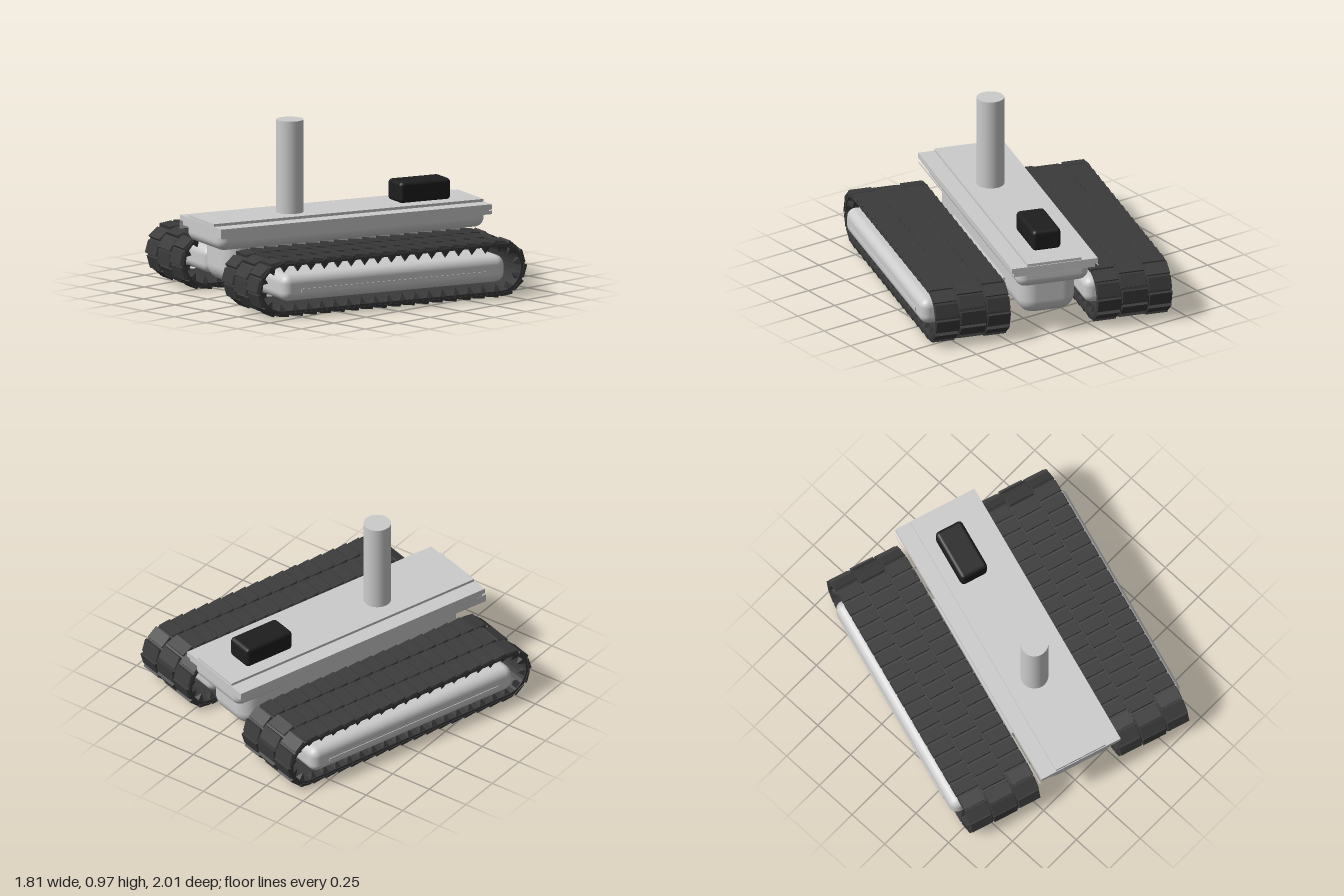
import * as THREE from 'three';
import { mergeGeometries } from 'three/addons/utils/BufferGeometryUtils.js';
import { RoundedBoxGeometry } from 'three/addons/geometries/RoundedBoxGeometry.js';

const grey = new THREE.MeshStandardMaterial({ color: 0xcccccc });
const greyThin = new THREE.MeshStandardMaterial({ color: 0xcccccc, side: THREE.DoubleSide });
const rubber = new THREE.MeshStandardMaterial({ color: 0x3a3a3a, flatShading: true });
const black = new THREE.MeshStandardMaterial({ color: 0x1e1e1e });

// Track loop: two straights joined by half circles
const HALF = 0.675, MID_Y = 0.17, SHOES = 42, TRACK_X = 0.47, TRACK_W = 0.43;

function add(parent, name, geometry, material, x = 0, y = 0, z = 0) {
  const mesh = new THREE.Mesh(geometry, material);
  mesh.name = name;
  mesh.position.set(x, y, z);
  parent.add(mesh);
  return mesh;
}

function roundedBox(w, y0, y1, d, r) {
  return new RoundedBoxGeometry(w, y1 - y0, d, 4, r).translate(0, (y0 + y1) / 2, 0);
}

function stadium(r, Type) {
  const s = new Type();
  s.absarc(HALF, 0, r, -Math.PI / 2, Math.PI / 2, false);
  s.absarc(-HALF, 0, r, Math.PI / 2, Math.PI * 1.5, false);
  s.closePath();
  return s;
}

// Transform of a point on the loop: local y points outward, local z runs along it
function onLoop(t, r) {
  const arc = Math.PI * r, straight = 2 * HALF;
  let s = (((t % 1) + 1) % 1) * 2 * (arc + straight);
  const back = s >= arc + straight;
  if (back) s -= arc + straight;
  let z, y, a;
  if (s < straight) {
    z = -HALF + s; y = r; a = 0;
  } else {
    a = (s - straight) / r;
    z = HALF + Math.sin(a) * r; y = Math.cos(a) * r;
  }
  if (back) { z = -z; y = -y; a += Math.PI; }
  return new THREE.Matrix4().makeRotationX(a).setPosition(0, y + MID_Y, z);
}

function trackGeometry() {
  // Thin continuous belt
  const shape = stadium(0.148, THREE.Shape);
  shape.holes.push(stadium(0.126, THREE.Path));
  const belt = new THREE.ExtrudeGeometry(shape, { depth: TRACK_W, bevelEnabled: false, curveSegments: 8 })
    .translate(0, 0, -TRACK_W / 2).rotateY(Math.PI / 2).translate(0, MID_Y, 0);
  const parts = [belt];
  // Staggered tread pads outside, guide teeth inside
  const pitch = 0.086;
  for (let i = 0; i < SHOES; i++) {
    for (const [x, w, shift] of [[-0.15, 0.14, 0], [0, 0.155, 0.4], [0.15, 0.14, 0]]) {
      const pad = new THREE.BoxGeometry(w, 0.022, pitch * 0.84);
      const p = pad.attributes.position;
      for (let k = 0; k < p.count; k++) {
        // Each pad tilts slightly so neighbours overlap like shingles
        if (p.getY(k) > 0 && p.getZ(k) < 0) p.setY(k, 0.002);
        if (p.getY(k) > 0) p.setX(k, p.getX(k) * 0.92);
      }
      pad.translate(x, 0, 0).applyMatrix4(onLoop((i + shift) / SHOES, 0.15));
      parts.push(pad);
    }
    for (const x of [-0.19, 0.19]) {
      const tooth = new THREE.ConeGeometry(0.03, 0.042, 4).rotateY(Math.PI / 4)
        .rotateX(Math.PI).translate(x, -0.019, 0).applyMatrix4(onLoop(i / SHOES, 0.126));
      parts.push(tooth);
    }
  }
  return mergeGeometries(parts.map(g => (g.index ? g.toNonIndexed() : g)));
}

// Thin tapered strip hanging below the deck edge
function skirtGeometry(drop) {
  const s = new THREE.Shape([[0.84, 0.41], [-0.83, 0.40], [-0.83, 0.39], [0.84, 0.41 - drop]]
    .map(([a, b]) => new THREE.Vector2(a, b)));
  return new THREE.ShapeGeometry(s).rotateY(-Math.PI / 2);
}

export function createModel() {
  const model = new THREE.Group();
  const rover = new THREE.Group();
  rover.name = 'trackedRover';
  rover.rotation.y = -0.306;
  model.add(rover);

  // Central body: narrow keel widening into an upper hull
  add(rover, 'lowerHull', roundedBox(0.33, 0.1, 0.42, 1.5, 0.09), grey);
  add(rover, 'upperHull', roundedBox(0.42, 0.31, 0.44, 1.66, 0.055), grey);

  // Layered deck
  for (const [name, w, y0, y1, d] of [
    ['deckLip', 0.47, 0.39, 0.415, 1.66],
    ['deckRim', 0.5, 0.415, 0.445, 1.68],
    ['deckPlate', 0.315, 0.44, 0.46, 1.67],
  ]) add(rover, name, new THREE.BoxGeometry(w, y1 - y0, d), grey, 0, (y0 + y1) / 2, 0);
  add(rover, 'rightSkirt', skirtGeometry(0.045), greyThin, -0.258);
  add(rover, 'leftSkirt', skirtGeometry(0.02).rotateY(Math.PI), greyThin, 0.252);

  // Mast and equipment box
  add(rover, 'mast', new THREE.CylinderGeometry(0.077, 0.077, 0.53, 32), grey, 0.008, 0.715, 0.29);
  add(rover, 'equipmentBox', new RoundedBoxGeometry(0.165, 0.12, 0.315, 2, 0.022), black, -0.008, 0.517, -0.52);

  // Tracks with a hollow loop around each side pod
  const track = trackGeometry();
  for (const side of [-1, 1]) {
    const unit = new THREE.Group();
    unit.name = side > 0 ? 'leftTrackUnit' : 'rightTrackUnit';
    rover.add(unit);
    add(unit, 'track', track, rubber, side * TRACK_X);
    add(unit, 'sidePod', roundedBox(0.5, 0.1, 0.25, 1.38, 0.05), grey, side * 0.475);
    add(unit, 'podRib', new THREE.BoxGeometry(0.012, 0.02, 1.16), grey, side * 0.723, 0.16, 0);
    // Axle beam from the hull to the pod
    add(unit, 'axleBeam', new THREE.BoxGeometry(0.14, 0.08, 0.9), grey, side * 0.2, 0.18, 0);
  }
  return model;
}
